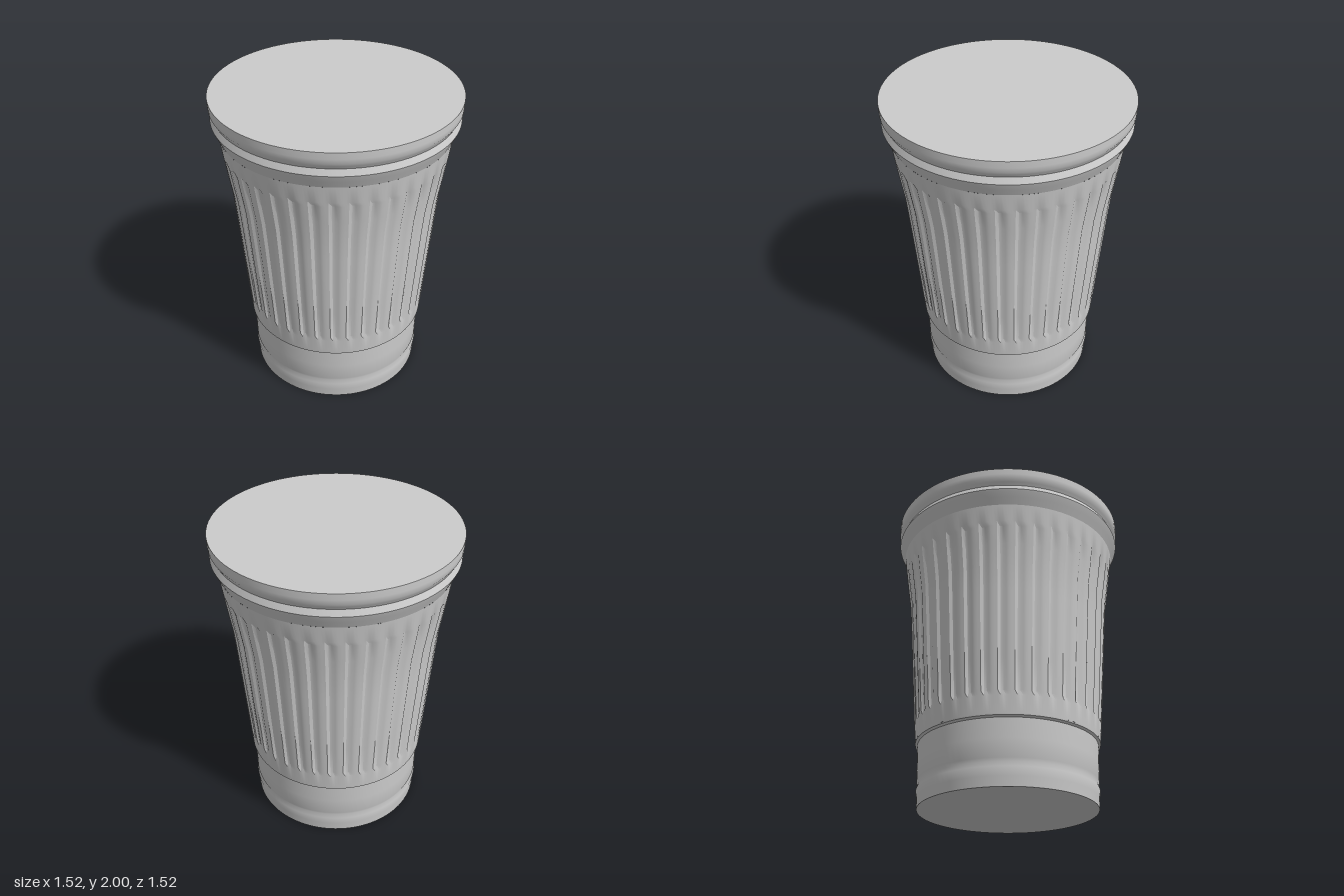
import * as THREE from 'three';
import { toCreasedNormals } from 'three/addons/utils/BufferGeometryUtils.js';

const FLUTES = 38;
const STEPS = 6; // segments per flute
const DEPTH = 0.011;

export function createModel() {
  const cup = new THREE.Group();
  cup.name = 'cup';
  const material = new THREE.MeshStandardMaterial({ color: 0xcccccc });

  const add = (name, geometry) => {
    const mesh = new THREE.Mesh(geometry, material);
    mesh.name = name;
    cup.add(mesh);
    return mesh;
  };
  // Turned part from [radius, height] pairs, listed bottom to top
  const turned = (points, segments = 96) =>
    new THREE.LatheGeometry(points.map(([r, y]) => new THREE.Vector2(r, y)), segments);

  // Smooth foot with a rounded bead at the bottom
  add('base', toCreasedNormals(turned([
    [0, 0], [0.558, 0], [0.562, 0.06], [0.567, 0.115], [0.558, 0.145],
    [0.565, 0.165], [0.567, 0.28], [0.57, 0.395], [0.57, 0.402], [0.584, 0.412], [0.585, 0.42],
  ]), 0.7));

  // Flared body with shallow upright flutes that fade out at both ends
  const body = turned([
    [0.585, 0.42], [0.594, 0.53], [0.597, 0.56], [0.612, 0.76], [0.63, 1.0], [0.645, 1.2],
    [0.659, 1.37], [0.679, 1.5], [0.696, 1.62], [0.7, 1.65], [0.715, 1.76],
  ], FLUTES * STEPS);
  const pos = body.attributes.position;
  const groove = [0, 0, 0, 1, 1, 0.3];
  const rows = 11;
  for (let i = 0; i < pos.count; i++) {
    const row = i % rows;
    if (row < 2 || row > rows - 3) continue;
    const column = Math.floor(i / rows);
    const x = pos.getX(i), z = pos.getZ(i);
    const k = 1 - DEPTH * groove[column % STEPS] / Math.hypot(x, z);
    pos.setX(i, x * k);
    pos.setZ(i, z * k);
  }
  add('flutedBody', toCreasedNormals(body, 0.5));

  // Rim with a rolled bead, a neck and a straight lip, closed by a flat lid
  add('rim', toCreasedNormals(turned([
    [0.715, 1.76], [0.735, 1.805], [0.75, 1.838], [0.755, 1.852], [0.746, 1.872],
    [0.738, 1.89], [0.748, 1.91], [0.76, 1.93], [0.762, 1.96], [0.762, 2], [0, 2],
  ]), 0.7));

  return cup;
}
